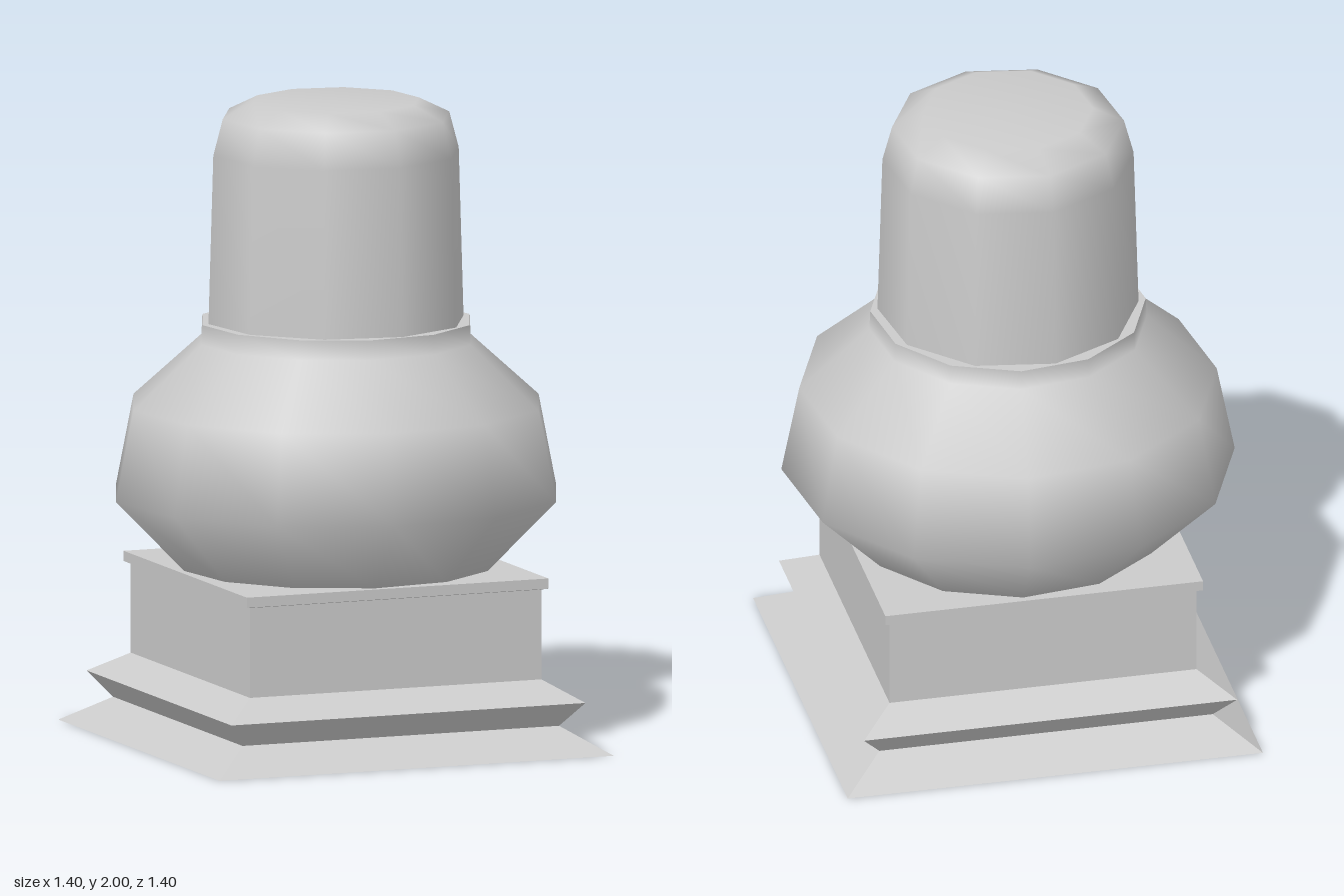
import * as THREE from 'three';

const deg = Math.PI / 180;

// Revolve a [radius, height] profile, listed from bottom to top
function turned(name, profile, sides, startDegrees, flat = false) {
  const points = profile.map(([r, y]) => new THREE.Vector2(r, y));
  const geometry = new THREE.LatheGeometry(points, sides, startDegrees * deg);
  const material = new THREE.MeshStandardMaterial({ color: 0xcccccc, flatShading: flat });
  const mesh = new THREE.Mesh(geometry, material);
  mesh.name = name;
  return mesh;
}

// Square moulding from [half width, height] pairs
function squareMoulding(name, profile) {
  return turned(name, profile.map(([w, y]) => [w * Math.SQRT2, y]), 4, 45, true);
}

export function createModel() {
  const model = new THREE.Group();
  model.name = 'pedestalFinial';

  // Square pedestal: splayed foot, projecting ledge and upright block
  model.add(squareMoulding('pedestal', [
    [0, 0], [0.66, 0], [0.53, 0.083], [0.593, 0.16], [0.488, 0.225], [0.488, 0.51],
  ]));

  // Thin slab capping the pedestal
  model.add(squareMoulding('capSlab', [
    [0, 0.507], [0.488, 0.507], [0.505, 0.511], [0.505, 0.543], [0, 0.543],
  ]));

  // Twelve-sided bulbous body
  model.add(turned('bulbBody', [
    [0.485, 0.541], [0.706, 0.768], [0.65, 1.053], [0.432, 1.25], [0.429, 1.312],
  ], 12, 22.7));

  // Flat rim closing the top of the body around the drum
  model.add(turned('bodyRim', [[0.429, 1.312], [0.37, 1.312]], 12, 22.7, true));

  // Ten-sided drum with a rounded top
  model.add(turned('drum', [
    [0.406, 1.29], [0.39, 1.84], [0.36, 1.953], [0.264, 2], [0, 2],
  ], 10, 8.5));

  return model;
}
